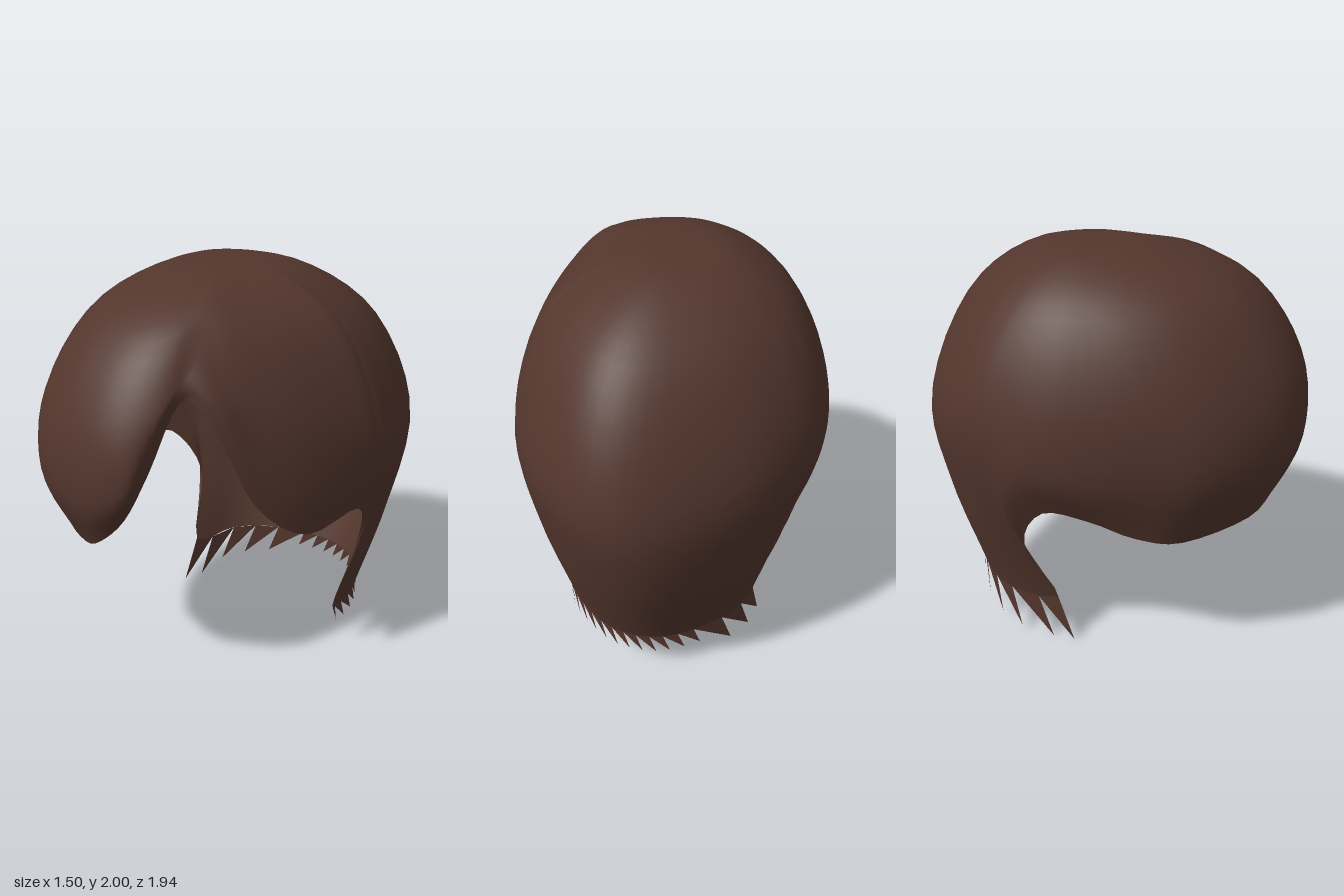
import * as THREE from 'three';

const hairBrown = new THREE.MeshStandardMaterial({ color: 0x53362d, side: THREE.DoubleSide });
hairBrown.name = 'hairBrown';

// Stations run from the parting across the fringe, right side, nape and left side.
// Lower edge of the hair
const hem = [
  [.4, 1.57, .63], [.36, 1.28, .78], [.27, 1.05, .85], [.1, .88, .87], [-.05, .81, .85], [-.3, .78, .76],
  [-.52, .735, .48], [-.59, .77, .27], [-.64, .86, .07], [-.65, .88, -.15], [-.54, .62, -.28],
  [-.44, .26, -.15], [-.4, .25, -.41], [-.22, .25, -.61], [.08, .25, -.72], [.33, .25, -.65],
  [.51, .26, -.43], [.57, .28, -.2], [.64, .65, -.27], [.71, .91, -.18], [.67, .87, .13],
  [.6, 1.08, .39], [.51, 1.47, .55],
];
// Fullness low on the head
const low = [
  [.41, 1.63, .62], [.38, 1.38, .8], [.33, 1.2, .9], [.15, 1.1, .96], [-.1, 1.1, .96], [-.35, 1.1, .87],
  [-.6, 1.1, .59], [-.69, 1.1, .3], [-.745, 1.1, 0], [-.735, 1.1, -.2], [-.68, 1, -.33],
  [-.58, .8, -.4], [-.47, .75, -.57], [-.24, .75, -.77], [.14, .77, -.92], [.4, .75, -.81],
  [.59, .75, -.56], [.68, .82, -.38], [.72, .98, -.28], [.735, 1.1, -.16], [.69, 1.1, .15],
  [.61, 1.25, .38], [.53, 1.53, .52],
];
// Fullness higher on the head
const high = [
  [.4, 1.72, .55], [.39, 1.55, .74], [.3, 1.47, .87], [.14, 1.45, .93], [-.1, 1.45, .93], [-.33, 1.45, .84],
  [-.55, 1.45, .6], [-.67, 1.45, .3], [-.715, 1.45, 0], [-.71, 1.43, -.18], [-.68, 1.4, -.33],
  [-.64, 1.33, -.46], [-.53, 1.28, -.62], [-.27, 1.22, -.82], [.17, 1.16, -.96], [.44, 1.2, -.87],
  [.64, 1.2, -.6], [.73, 1.24, -.35], [.735, 1.3, -.25], [.72, 1.4, -.14], [.66, 1.45, .15],
  [.58, 1.53, .34], [.49, 1.64, .47],
];

const toVec = (p) => new THREE.Vector3(...p);
const ring = (pts) => new THREE.CatmullRomCurve3(pts.map(toVec), true, 'catmullrom', 0.5);

// The rounded top follows the upper ring by rule
const shoulder = high.map(([x, y, z]) => [x * .76, y + (2 - y) * .65, z * .74]);
const top = high.map(([x, y, z]) => [x * .35 - .03, 2 - .04 * (2 - y), z * .33 - .02]);
const rings = [top, shoulder, high, low, hem].map(ring);
const crown = new THREE.Vector3(-.05, 2, -.03);

const SUB = 4, COLS = hem.length * SUB, ROWS = 24;

// One strand line from crown to hem
function strand(j) {
  const pts = [crown, ...rings.map((r) => r.getPoint((j % COLS) / COLS))];
  return new THREE.CatmullRomCurve3(pts, false, 'centripetal');
}

function geometryFrom(points, index) {
  const g = new THREE.BufferGeometry().setFromPoints(points);
  g.setIndex(index);
  g.computeVertexNormals();
  return g;
}

// Smooth shell lofted from the strand lines
function shell() {
  const points = [crown], index = [];
  const id = (i, j) => 1 + (i - 1) * COLS + (j % COLS);
  const lines = Array.from({ length: COLS }, (_, j) => strand(j));
  for (let i = 1; i <= ROWS; i++) {
    for (const line of lines) points.push(line.getPoint(i / ROWS));
  }
  for (let j = 0; j < COLS; j++) {
    index.push(0, id(1, j + 1), id(1, j));
    for (let i = 1; i < ROWS; i++) {
      const a = id(i, j), b = id(i, j + 1), c = id(i + 1, j), d = id(i + 1, j + 1);
      index.push(a, b, c, b, d, c);
    }
  }
  return geometryFrom(points, index);
}

// Hair tips along the nape: wide, blunt and long on the right, small and pointed on the left
function tips() {
  const points = [], index = [];
  const first = 11 * SUB, wideEnd = first + 10, last = 17 * SUB;
  for (let j = first; j < last;) {
    const wide = j < wideEnd, step = wide ? 2 : 1;
    const a = strand(j).getPoint(1), b = strand(j + step).getPoint(1);
    const length = wide ? .25 - .1 * (j - first) / 10 : .1;
    const lean = a.clone().sub(b).normalize().multiplyScalar(length * .35);
    const tip = a.clone().add(lean);
    tip.y = a.y - length;
    const blunt = tip.clone().lerp(b, wide ? .25 : .05);
    const n = points.length;
    points.push(a, b, tip, blunt);
    index.push(n, n + 1, n + 2, n + 1, n + 3, n + 2);
    j += step;
  }
  return geometryFrom(points, index);
}

export function createModel() {
  const model = new THREE.Group();
  model.name = 'hair';
  const add = (name, geometry) => {
    const mesh = new THREE.Mesh(geometry, hairBrown);
    mesh.name = name;
    model.add(mesh);
  };
  add('hairShell', shell());
  add('napeTips', tips());
  return model;
}
